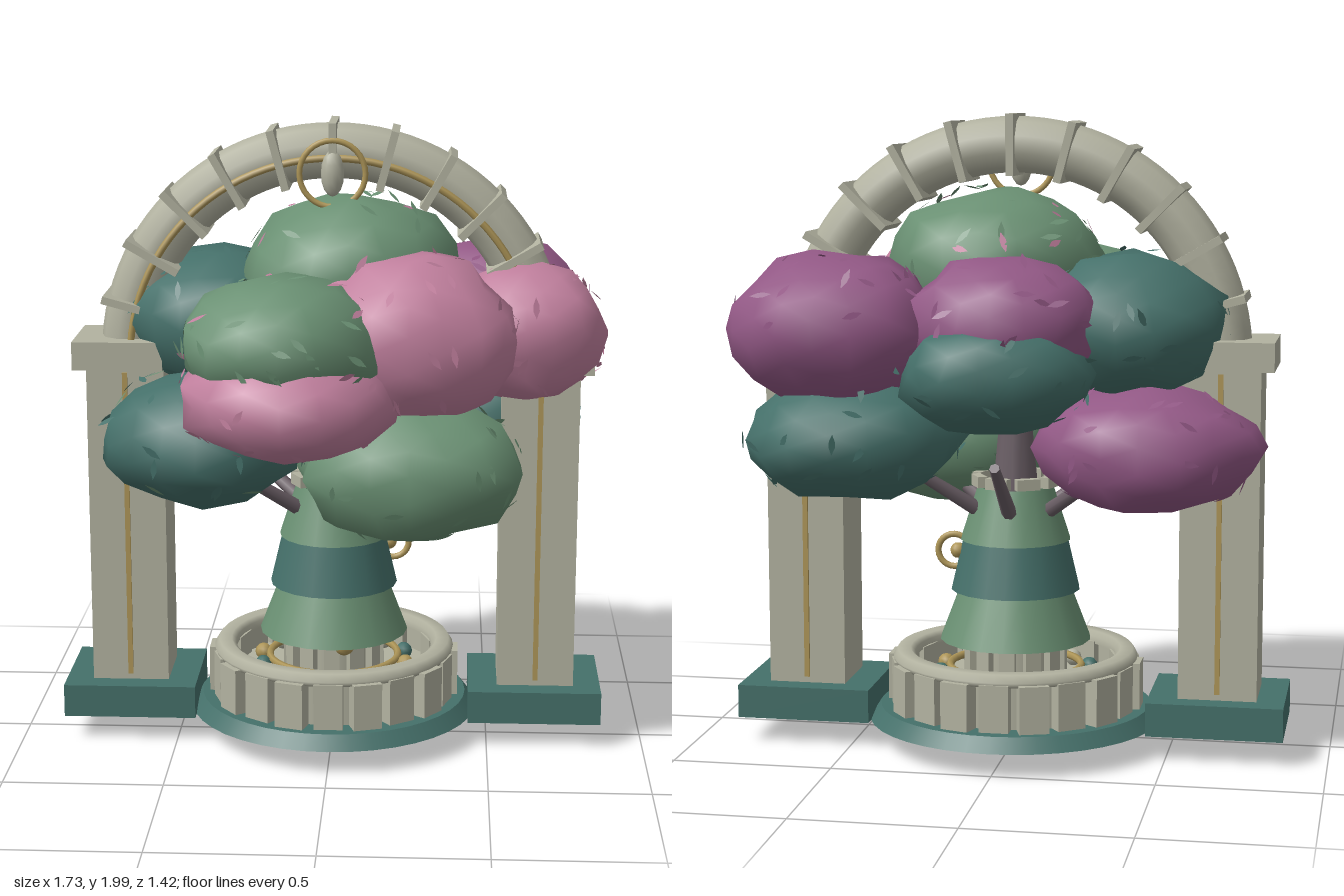
import * as THREE from 'three';
import { mergeVertices, mergeGeometries } from 'three/addons/utils/BufferGeometryUtils.js';

const paint = (name, color, side = THREE.FrontSide) => {
  const m = new THREE.MeshStandardMaterial({ color, side });
  m.name = name;
  return m;
};

export function createModel() {
  const stone = paint('stone', 0xb2b2a0);
  const teal = paint('teal', 0x45706a, THREE.DoubleSide);
  const green = paint('leaf green', 0x6a9073, THREE.DoubleSide);
  const pink = paint('blossom pink', 0xc07f9d, THREE.DoubleSide);
  const purple = paint('blossom purple', 0x925885, THREE.DoubleSide);
  const gold = paint('gold', 0xae9658);
  const bark = paint('bark', 0x6b5f66);

  const model = new THREE.Group();
  const core = new THREE.Group(); // everything except foliage shares one axis
  core.name = 'shrine';
  core.position.z = -0.065;
  model.add(core);

  let seed = 7;
  const rnd = () => (seed = (seed * 16807) % 2147483647) / 2147483647;

  const add = (name, geo, mat, x = 0, y = 0, z = 0, parent = core) => {
    const m = new THREE.Mesh(geo, mat);
    m.name = name;
    m.position.set(x, y, z);
    parent.add(m);
    return m;
  };
  const box = (name, w, h, d, mat, x, y, z) => add(name, new THREE.BoxGeometry(w, h, d), mat, x, y, z);
  const rod = (name, a, b, r0, r1, mat) => {
    const d = b.clone().sub(a);
    const m = add(name, new THREE.CylinderGeometry(r1, r0, d.length(), 7), mat);
    m.position.copy(a).addScaledVector(d, 0.5);
    m.quaternion.setFromUnitVectors(new THREE.Vector3(0, 1, 0), d.normalize());
  };
  const polar = (r, a, y) => new THREE.Vector3(r * Math.cos(a), y, r * Math.sin(a));

  // Unevenly scaled icosahedron with shared corners
  const lump = (detail, r, low, high) => {
    const raw = new THREE.IcosahedronGeometry(1, detail);
    raw.deleteAttribute('normal');
    raw.deleteAttribute('uv');
    const geo = mergeVertices(raw, 1e-3);
    const p = geo.attributes.position;
    for (let i = 0; i < p.count; i++) {
      const k = low + rnd() * (high - low);
      p.setXYZ(i, p.getX(i) * r[0] * k, p.getY(i) * r[1] * k, p.getZ(i) * r[2] * k);
    }
    geo.computeVertexNormals();
    return geo;
  };

  // Base disc, hanging rock and roots
  add('baseDisc', new THREE.CylinderGeometry(0.43, 0.465, 0.045, 40), teal, 0, 0.1075);
  const rock = lump(1, [0.19, 0.1, 0.18], 0.88, 1.05).toNonIndexed();
  rock.computeVertexNormals();
  add('hangingRock', rock, teal, 0, 0.1);
  for (let i = 0; i < 5; i++) {
    const a = i * Math.PI * 0.4 + 0.25;
    rod('root', polar(0.1, a, 0.055), polar(0.29, a, 0.078), 0.022, 0.014, bark);
  }

  // Plinths, columns, capitals and gold inlays
  for (const s of [-1, 1]) {
    box('plinth', 0.425, 0.105, 0.38, teal, s * 0.652, 0.1375, 0);
    box('column', 0.245, 1.03, 0.235, stone, s * 0.655, 0.705, 0);
    box('capital', 0.285, 0.09, 0.285, stone, s * 0.676, 1.265, 0);
    for (const f of [-1, 1]) box('columnInlay', 0.016, 1.0, 0.016, gold, s * 0.655, 0.71, f * 0.118);
  }

  // Arch with bands and a gold inlay
  const archY = 1.245, archR = 0.655;
  add('arch', new THREE.TorusGeometry(archR, 0.087, 10, 48, Math.PI), stone, 0, archY);
  add('archInlay', new THREE.TorusGeometry(archR - 0.015, 0.011, 6, 48, Math.PI), gold, 0, archY, 0.088);
  for (let i = 1; i < 12; i++) {
    const a = i * Math.PI / 12;
    const b = box('archBand', 0.19, 0.024, 0.225, stone, archR * Math.cos(a), archY + archR * Math.sin(a), 0);
    b.rotation.z = a;
  }

  // Keystone ring and gem
  add('keystoneRing', new THREE.TorusGeometry(0.102, 0.009, 8, 32), gold, 0, 1.84, 0.11);
  const gem = add('keystoneGem', new THREE.SphereGeometry(1, 12, 8), stone, 0, 1.84, 0.1);
  gem.scale.set(0.036, 0.072, 0.03);

  // Basin wall of alternating staves with a rim
  add('basinWall', new THREE.CylinderGeometry(0.35, 0.35, 0.15, 32, 1, true), stone, 0, 0.2);
  add('basinFloor', new THREE.CylinderGeometry(0.345, 0.345, 0.06, 32), stone, 0, 0.17);
  for (let i = 0; i < 20; i++) {
    const a = i * Math.PI / 10;
    const p = polar(i % 2 ? 0.352 : 0.365, a, 0.2);
    box('basinStave', 0.08, 0.155, 0.092, stone, p.x, p.y, p.z).rotation.y = -a;
  }
  const rim = [[0.32, 0.27], [0.385, 0.27], [0.39, 0.285], [0.375, 0.308], [0.335, 0.308], [0.32, 0.295], [0.32, 0.27]];
  add('basinRim', new THREE.LatheGeometry(rim.map(p => new THREE.Vector2(...p)), 40), stone);

  // Pedestal under the trunk, ringed by offerings
  add('pedestal', new THREE.CylinderGeometry(0.14, 0.14, 0.22, 20), stone, 0, 0.24);
  const goldRing = add('offeringRing', new THREE.TorusGeometry(0.21, 0.012, 6, 32), gold, 0, 0.25);
  goldRing.rotation.x = Math.PI / 2;
  for (let i = 0; i < 12; i++) {
    const a = i * Math.PI / 6;
    const p = polar(0.15, a, 0.27);
    box('pedestalStave', 0.025, 0.14, 0.05, stone, p.x, p.y, p.z).rotation.y = -a;
    const q = polar(0.24, a + 0.2, 0.235);
    add('offering', new THREE.SphereGeometry(0.028, 8, 6), [gold, stone, teal][i % 3], q.x, q.y, q.z);
  }
  add('pedestalKnob', new THREE.SphereGeometry(0.035, 10, 8), gold, 0.04, 0.33, 0.15);

  // Layered skirts round the trunk
  add('trunk', new THREE.CylinderGeometry(0.05, 0.12, 0.75, 10), bark, 0, 0.68);
  [[0.34, 0.24, 0.175, green], [0.5, 0.205, 0.165, teal], [0.66, 0.175, 0.12, green]].forEach(([y, r0, r1, mat]) =>
    add('trunkSkirt', new THREE.CylinderGeometry(r1, r0, 0.17, 20, 1, true), mat, 0, y + 0.085));
  for (let i = 0; i < 8; i++) {
    const a = i * Math.PI / 4 + 0.3;
    const p = polar(0.12, a, 0.85);
    box('collarBlock', 0.03, 0.035, 0.075, stone, p.x, p.y, p.z).rotation.y = -a;
  }

  // Hanging ring with a bead
  add('sideRing', new THREE.TorusGeometry(0.052, 0.01, 8, 24), gold, 0.19, 0.622, -0.04);
  add('sideBead', new THREE.SphereGeometry(0.025, 10, 8), gold, 0.178, 0.622, -0.04);

  // Branches reaching into the crown
  for (let i = 0; i < 6; i++) {
    const a = i * Math.PI / 3 + 0.5;
    rod('branch', polar(0.08, a, 0.73), polar(0.42, a, 0.95), 0.026, 0.016, bark);
  }

  // Crown: uneven ellipsoids, each with loose leaves
  const leafShape = new THREE.Shape([[0, -0.034], [0.01, -0.008], [0.009, 0.011], [0, 0.034], [-0.009, 0.011], [-0.01, -0.008]]
    .map(p => new THREE.Vector2(...p)));
  const leafGeo = new THREE.ShapeGeometry(leafShape);
  const leaves = (n, r) => {
    const parts = [];
    const o = new THREE.Object3D();
    for (let i = 0; i < n; i++) {
      const y = rnd() * 1.7 - 0.7, a = rnd() * Math.PI * 2, h = Math.sqrt(1 - y * y);
      const d = new THREE.Vector3(h * Math.cos(a), y, h * Math.sin(a));
      o.position.copy(d).multiply(r);
      o.lookAt(o.position.clone().add(d.divide(r)));
      o.rotateZ(rnd() * 6.28);
      o.rotateX((rnd() - 0.5) * 0.9);
      o.updateMatrix();
      parts.push(leafGeo.clone().applyMatrix4(o.matrix));
    }
    return mergeGeometries(parts);
  };
  const clump = (mat, c, r, accent) => {
    const g = new THREE.Group();
    g.name = 'foliageClump';
    g.position.set(...c);
    model.add(g);
    add('foliage', lump(2, r, 0.91, 1.06), mat, 0, 0, 0, g);
    const size = new THREE.Vector3(...r).multiplyScalar(1.01);
    add('looseLeaves', leaves(40, size), mat, 0, 0, 0, g);
    if (accent) add('petals', leaves(16, size), accent, 0, 0, 0, g);
  };
  clump(green, [0.06, 1.52, -0.06], [0.34, 0.25, 0.34], pink);
  clump(green, [-0.13, 1.365, 0.35], [0.32, 0.205, 0.3], pink);
  clump(pink, [-0.12, 1.21, 0.395], [0.335, 0.185, 0.32]);
  clump(pink, [0.245, 1.36, 0.2], [0.325, 0.265, 0.29]);
  clump(pink, [0.6, 1.34, -0.01], [0.26, 0.22, 0.23]);
  clump(teal, [-0.38, 1.06, 0.25], [0.325, 0.21, 0.31], green);
  clump(green, [0.25, 0.955, 0.23], [0.36, 0.23, 0.3]);
  clump(teal, [-0.365, 1.36, -0.14], [0.31, 0.225, 0.33]);
  clump(purple, [-0.44, 0.985, -0.21], [0.35, 0.205, 0.32]);
  clump(purple, [0.5, 1.35, -0.37], [0.33, 0.235, 0.3]);
  clump(purple, [-0.02, 1.37, -0.37], [0.3, 0.21, 0.27]);
  clump(teal, [0, 1.23, -0.42], [0.3, 0.185, 0.3]);
  clump(teal, [0.46, 1.02, -0.34], [0.34, 0.2, 0.325]);

  return model;
}
